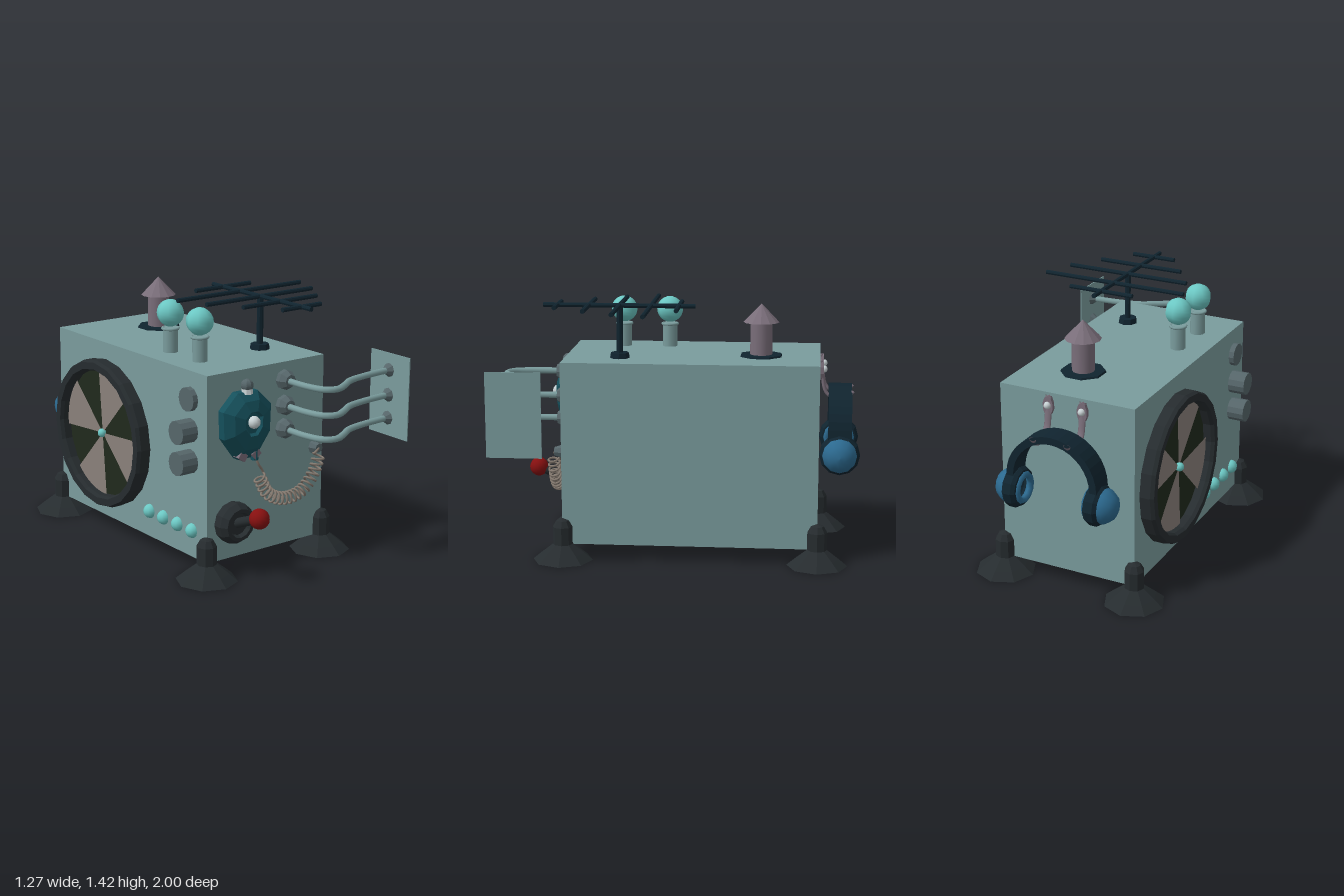
import * as THREE from 'three';

const V = (x, y, z) => new THREE.Vector3(x, y, z);
const C = {
  body: 0x7a9c9d, dark: 0x262c2f, navy: 0x10242f, grey: 0x56666a, bulb: 0x6cc8c4,
  mauve: 0x7a6e7a, teal: 0x15505c, red: 0x861010, tan: 0x857a70, blue: 0x2c6a90,
  white: 0xc8d2d4, green: 0x20291c, blade: 0x8a807a,
};

export function createModel() {
  const root = new THREE.Group();
  const mat = (color, flat) => new THREE.MeshStandardMaterial({ color, flatShading: flat, side: THREE.DoubleSide });
  function add(name, geo, color, pos = [0, 0, 0], rot = [0, 0, 0], flat = true, parent = root) {
    const m = new THREE.Mesh(geo, mat(color, flat));
    m.name = name;
    m.position.set(...pos);
    m.rotation.set(...rot);
    parent.add(m);
    return m;
  }
  const group = (name, x, y, z) => {
    const g = new THREE.Group();
    g.name = name;
    g.position.set(x, y, z);
    root.add(g);
    return g;
  };
  const lathe = (pts, n = 8) => new THREE.LatheGeometry(pts.map(p => new THREE.Vector2(...p)), n);
  const cyl = (r1, r2, h, n = 8) => new THREE.CylinderGeometry(r1, r2, h, n);
  const ball = (r, n = 10) => new THREE.SphereGeometry(r, n, 10);
  const tube = (pts, r, n = 30, s = 8) => new THREE.TubeGeometry(new THREE.CatmullRomCurve3(pts), n, r, s);
  const H = Math.PI / 2;

  // Cabinet
  add('cabinet', new THREE.BoxGeometry(0.79, 1.025, 1.418), C.body, [-0.075, 0.6025, -0.061]);

  // Suction feet on the four lower corners
  for (const x of [-0.47, 0.32]) for (const z of [0.645, -0.77])
    add('foot', lathe([[0, 0], [0.168, 0], [0.12, 0.04], [0.055, 0.09], [0.055, 0.19], [0.035, 0.225], [0, 0.238]]),
      C.dark, [x, 0, z]);

  // Light bulbs on posts
  for (const z of [0.1, 0.365]) {
    add('bulbPost', cyl(0.042, 0.042, 0.14, 10), C.body, [-0.305, 1.18, z], [0, 0, 0], false);
    add('bulbCollar', new THREE.TorusGeometry(0.044, 0.008, 6, 12), C.body, [-0.305, 1.245, z], [H, 0, 0], false);
    add('bulb', new THREE.SphereGeometry(0.075, 8, 12), C.bulb, [-0.305, 1.33, z], [0, 0, 0], false);
  }

  // Chimney
  add('chimneyBase', cyl(0.12, 0.125, 0.012), C.navy, [0, 1.119, -0.44], [0, Math.PI / 8, 0]);
  add('chimneyPipe', cyl(0.062, 0.062, 0.19, 12), C.mauve, [0, 1.215, -0.44], [0, 0, 0], false);
  add('chimneyCap', cyl(0, 0.1, 0.105, 12), C.mauve, [0, 1.358, -0.44]);

  // Aerial: mast, boom and five rods
  const aerial = group('aerial', 0.125, 0, 0.34);
  add('aerialBase', cyl(0.05, 0.055, 0.03), C.navy, [0, 1.13, 0], [0, 0, 0], true, aerial);
  add('aerialMast', cyl(0.018, 0.018, 0.28), C.navy, [0, 1.265, 0], [0, 0, 0], true, aerial);
  add('aerialBoom', cyl(0.013, 0.013, 0.845), C.navy, [0, 1.407, 0.002], [H, 0, 0], true, aerial);
  [[-0.33, 0.385], [-0.175, 0.86], [0, 0.735], [0.17, 0.51], [0.345, 0.265]].forEach(([z, len]) =>
    add('aerialRod', cyl(0.013, 0.013, len), C.navy, [0, 1.407, z], [0, 0, H], true, aerial));

  // Fan on the right side: rim, backing, four blades and hub
  const fan = group('fan', -0.47, 0.595, -0.29);
  fan.rotation.y = -H;
  const rim = new THREE.Shape().absarc(0, 0, 0.425, 0, Math.PI * 2);
  rim.holes.push(new THREE.Path().absarc(0, 0, 0.365, 0, Math.PI * 2, true));
  add('fanRim', new THREE.ExtrudeGeometry(rim, { depth: 0.06, curveSegments: 10, bevelSize: 0.01,
    bevelOffset: -0.01, bevelThickness: 0.02, bevelSegments: 1 }), C.dark, [0, 0, 0], [0, 0, 0], true, fan);
  add('fanBacking', new THREE.CircleGeometry(0.37, 24), C.green, [0, 0, 0.015], [0, 0, 0], true, fan);
  for (let i = 0; i < 4; i++)
    add('fanBlade', new THREE.CircleGeometry(0.36, 8, 0.8 + i * H, 0.85), C.blade, [0, 0, 0.03], [0, 0, 0], true, fan);
  add('fanHub', ball(0.025), C.bulb, [0, 0, 0.035], [0, 0, 0], false, fan);

  // Knobs and indicator lamps on the right side
  [[0.965, 0.03], [0.795, 0.097], [0.625, 0.097]].forEach(([y, d]) =>
    add('sideKnob', cyl(0.065, 0.065, d, 12), C.grey, [-0.47 - d / 2, y, 0.505], [0, 0, H]));
  for (let i = 0; i < 4; i++)
    add('indicatorLamp', ball(0.04), C.bulb, [-0.47, 0.24, 0.13 + i * 0.13], [0, 0, 0], false);

  // Faceted mask on the front
  const mask = group('mask', -0.24, 0.855, 0.648);
  const shell = lathe([[1, 0], [1, 0.045], [0.72, 0.085], [0.36, 0.105], [0.3, 0.09], [0, 0.09]]);
  shell.rotateY(Math.PI / 8).rotateX(H);
  const p = shell.attributes.position;
  for (let i = 0; i < p.count; i++) {
    const x = p.getX(i), y = p.getY(i);
    p.setXY(i, x * 0.171 * (y < 0 ? 1 + 0.1 * y : 1), y * (y > 0 ? 0.163 : 0.228));
  }
  add('maskShell', shell, C.teal, [0, 0, 0], [0, 0, 0], true, mask);
  add('maskButton', ball(0.034), C.white, [0, -0.002, 0.1], [0, 0, 0], false, mask);
  add('maskTopBand', cyl(0.028, 0.032, 0.03), C.white, [0, 0.155, 0.04], [0, 0, 0], true, mask);
  add('maskTopKnob', ball(0.034, 8), C.grey, [0, 0.185, 0.04], [0, 0, 0], true, mask);
  for (const s of [-1, 1])
    add('maskClaw', new THREE.BoxGeometry(0.05, 0.04, 0.05), C.mauve, [s * 0.045, -0.19, 0.045], [0, 0, s * 0.6], true, mask);
  add('maskSpout', cyl(0.022, 0.022, 0.05), C.teal, [0.045, -0.2, 0.05], [0, 0, 0], true, mask);

  // Coiled cord hanging from the mask to a plug
  const path = new THREE.CatmullRomCurve3([V(-0.165, 0.53, 0.7), V(-0.1, 0.42, 0.7), V(0.02, 0.37, 0.7),
    V(0.14, 0.395, 0.7), V(0.22, 0.48, 0.7), V(0.255, 0.575, 0.7)]);
  const cord = [V(-0.19, 0.66, 0.69), V(-0.17, 0.6, 0.7), V(-0.145, 0.565, 0.7)];
  const turns = 20, steps = turns * 10;
  for (let i = 0; i <= steps; i++) {
    const t = i / steps, a = t * turns * Math.PI * 2;
    const tan = path.getTangentAt(t);
    cord.push(path.getPointAt(t).addScaledVector(V(-tan.y, tan.x, 0), 0.033 * Math.cos(a)).add(V(0, 0, 0.03 * Math.sin(a))));
  }
  cord.push(V(0.262, 0.605, 0.69));
  add('coiledCord', tube(cord, 0.0065, 500, 6), C.tan, [0, 0, 0], [0, 0, 0], false);
  add('cordPlug', cyl(0.025, 0.04, 0.045), C.grey, [0.262, 0.605, 0.67], [H, 0, 0]);

  // Lever with red ball
  const lever = group('lever', -0.31, 0.295, 0.648);
  add('leverBase', lathe([[0.113, 0], [0.113, 0.05], [0.09, 0.085], [0.07, 0.085], [0.06, 0.06], [0, 0.06]], 12),
    C.dark, [0, 0, 0], [H, 0, 0], true, lever);
  add('leverRod', tube([V(0, 0, 0.04), V(0, 0.08, 0.235)], 0.027, 1, 10), C.dark, [0, 0, 0], [0, 0, 0], false, lever);
  add('leverBall', ball(0.055, 14), C.red, [0, 0.08, 0.237], [0, 0, 0], false, lever);

  // Three bent pipes holding a side panel
  for (const y of [1.02, 0.88, 0.75]) {
    add('pipeSocket', lathe([[0.055, 0], [0.055, 0.025], [0.035, 0.06], [0, 0.065]]), C.grey, [0.04, y, 0.648], [H, 0, 0]);
    add('pipe', tube([V(0.035, y, 0.68), V(0.038, y, 0.84), V(0.07, y, 0.945), V(0.13, y, 0.975), V(0.21, y, 0.94),
      V(0.3, y, 0.885), V(0.42, y, 0.858), V(0.62, y, 0.842)], 0.018), C.body, [0, 0, 0], [0, 0, 0], false);
    add('pipeFlange', cyl(0.04, 0.018, 0.03), C.grey, [0.607, y, 0.843], [0, 0, -H]);
  }
  add('sidePanel', new THREE.BoxGeometry(0.006, 0.465, 0.3), C.body, [0.625, 0.8825, 0.85]);

  // Headphones hung on the back
  const phones = group('headphones', -0.075, 0, -0.885);
  const band = new THREE.Shape();
  band.absarc(0, 0.685, 0.265, -0.15, Math.PI + 0.15);
  band.absarc(0, 0.685, 0.225, Math.PI + 0.15, -0.15, true);
  add('headband', new THREE.ExtrudeGeometry(band, { depth: 0.13, bevelEnabled: false, curveSegments: 10 }),
    C.navy, [0, 0, -0.065], [0, 0, 0], true, phones);
  for (const s of [-1, 1]) {
    const ear = new THREE.Group();
    ear.name = 'earCup';
    ear.position.set(s * 0.2, 0.595, 0);
    ear.rotation.z = -s * H;
    phones.add(ear);
    add('cupRing', lathe([[0.06, 0.01], [0.075, -0.005], [0.1, 0], [0.113, 0.02], [0.113, 0.06], [0.095, 0.08], [0, 0.08]], 12),
      C.navy, [0, 0, 0], [0, 0, 0], true, ear);
    add('cupDome', lathe([[0.098, 0.07], [0.092, 0.1], [0.065, 0.135], [0.03, 0.152], [0, 0.156]], 12),
      C.blue, [0, 0, 0], [0, 0, 0], false, ear);
    add('cupCushion', new THREE.TorusGeometry(0.072, 0.02, 6, 12), C.blue, [0, 0.002, 0], [H, 0, 0], false, ear);
  }

  // Hooks that carry the headphones
  for (const x of [-0.175, 0.025]) {
    const hook = tube([V(0, 1.1, -0.775), V(0, 1.0, -0.785), V(0, 0.92, -0.805), V(0, 0.885, -0.85),
      V(0, 0.885, -0.92), V(0, 0.925, -0.955)], 0.01, 24, 8);
    hook.scale(2, 1, 1);
    add('hook', hook, C.mauve, [x, 0, 0], [0, 0, 0], false);
    add('hookPlate', cyl(0.03, 0.03, 0.02, 10).scale(1, 1, 1.9), C.mauve, [x, 1.045, -0.78], [H, 0, 0]);
    add('hookScrew', ball(0.02), C.white, [x, 1.05, -0.792], [0, 0, 0], false);
  }
  return root;
}
